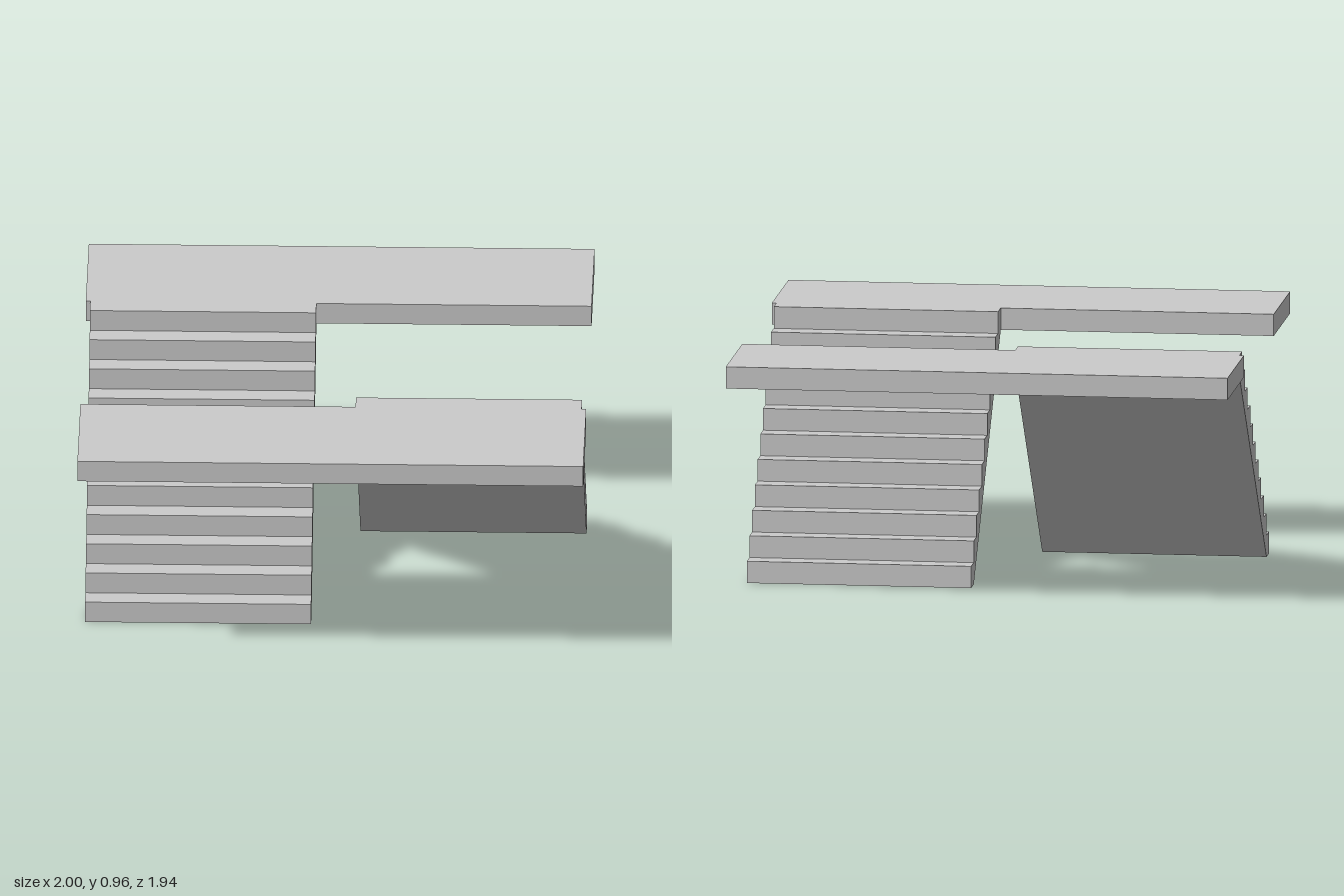
import * as THREE from 'three';

const STEPS = 11, HEIGHT = 0.96, HALF_RUN = 0.46;
const RISE = HEIGHT / STEPS, TREAD = (2 * HALF_RUN) / STEPS;
const INNER_X = 0.088, FLIGHT_WIDTH = 0.894, PLATFORM_DEPTH = 0.512;

const material = new THREE.MeshStandardMaterial({ color: 0xcccccc, flatShading: true });

// Side profile of a flight: stepped on top, straight sloping soffit below
function flightGeometry() {
  const profile = new THREE.Shape();
  profile.moveTo(HALF_RUN, 0);
  for (let i = 0; i < STEPS; i++) {
    profile.lineTo(HALF_RUN - i * TREAD, (i + 1) * RISE);
    profile.lineTo(HALF_RUN - (i + 1) * TREAD, (i + 1) * RISE);
  }
  profile.lineTo(-HALF_RUN, HEIGHT - RISE);
  profile.lineTo(HALF_RUN - TREAD, 0);
  profile.closePath();
  const geometry = new THREE.ExtrudeGeometry(profile, { depth: FLIGHT_WIDTH, bevelEnabled: false });
  // Profile runs along z, width runs towards -x
  return geometry.rotateY(-Math.PI / 2).translate(-INNER_X, 0, 0);
}

export function createModel() {
  const model = new THREE.Group();
  model.name = 'crossedStairs';
  const flight = flightGeometry();
  const slab = new THREE.BoxGeometry(2, RISE, PLATFORM_DEPTH)
    .translate(0, HEIGHT - RISE / 2, -HALF_RUN - PLATFORM_DEPTH / 2);

  // Each half is a flight and the landing it climbs to; the second is turned about y
  ['right', 'left'].forEach((side, i) => {
    const half = new THREE.Group();
    half.name = side + 'Half';
    const stairs = new THREE.Mesh(flight, material);
    stairs.name = side + 'StairFlight';
    const platform = new THREE.Mesh(slab, material);
    platform.name = i === 0 ? 'backPlatform' : 'frontPlatform';
    half.add(stairs, platform);
    half.rotation.y = i * Math.PI;
    model.add(half);
  });
  return model;
}
